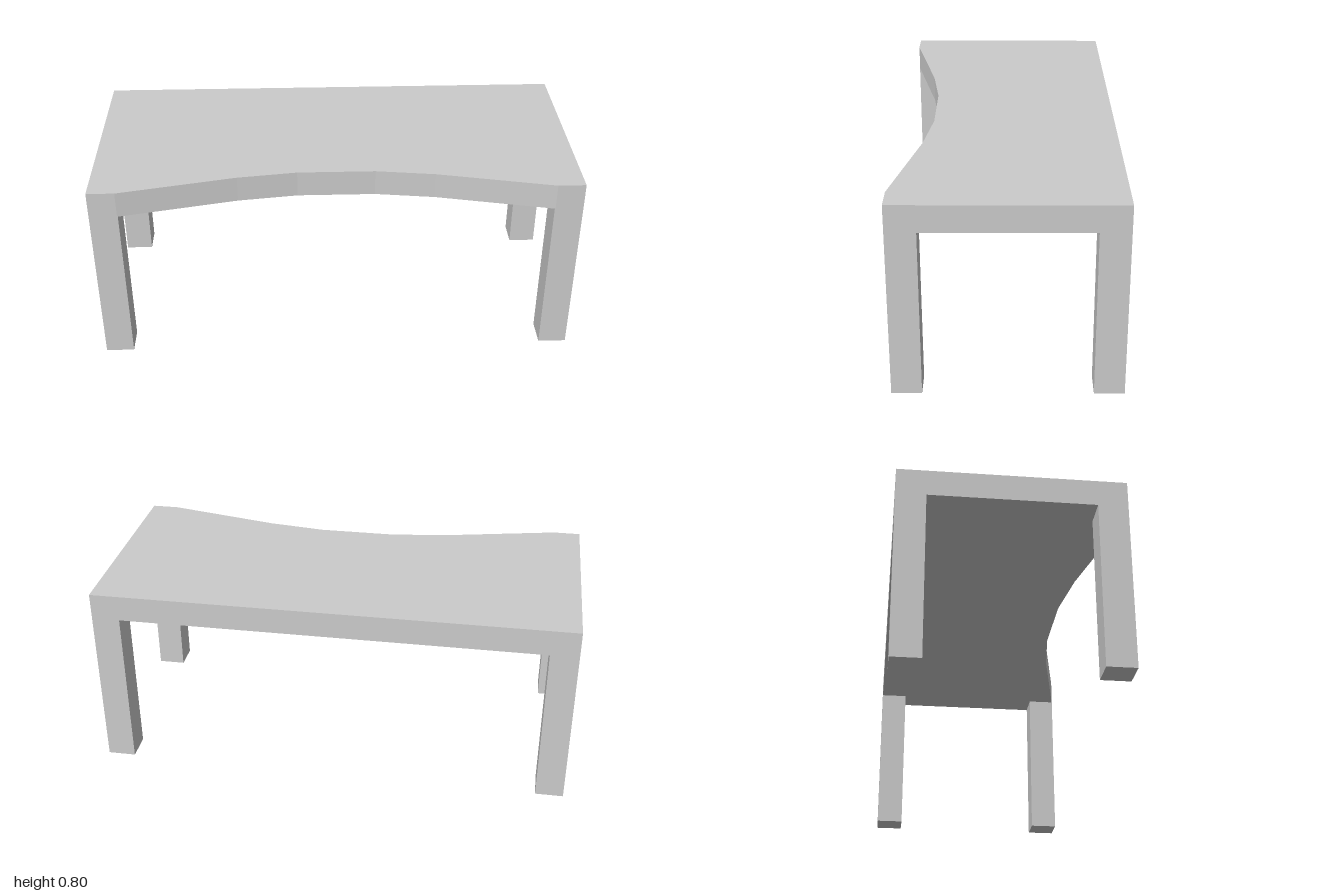
import * as THREE from 'three';

const HEIGHT = 0.8, UNDERSIDE = 0.69;
const HALF_W = 1, HALF_D = 0.45;
const LEG_W = 0.117, LEG_D = 0.119;

export function createModel() {
  const group = new THREE.Group();
  group.name = 'desk';
  const material = new THREE.MeshStandardMaterial({ color: 0xcccccc, flatShading: true });

  // Thick top with a faceted concave front edge, drawn in plan as (x, z)
  const curve = [[HALF_W - LEG_W + 0.003, HALF_D], [0.405, 0.345], [0.16, 0.313]];
  const half = [[HALF_W, -HALF_D], [HALF_W, HALF_D], ...curve];
  const mirrored = half.map(([x, z]) => [-x, z]).reverse();
  const plan = new THREE.Shape([...half, ...mirrored].map(([x, z]) => new THREE.Vector2(x, -z)));
  const topGeometry = new THREE.ExtrudeGeometry(plan, { depth: HEIGHT - UNDERSIDE, bevelEnabled: false });
  topGeometry.rotateX(-Math.PI / 2);
  const top = new THREE.Mesh(topGeometry, material);
  top.name = 'tabletop';
  top.position.y = UNDERSIDE;
  group.add(top);

  // Four square legs flush with the corners
  const legGeometry = new THREE.BoxGeometry(LEG_W, UNDERSIDE, LEG_D);
  for (const [sx, side] of [[1, 'Left'], [-1, 'Right']]) {
    for (const [sz, end] of [[1, 'front'], [-1, 'back']]) {
      const leg = new THREE.Mesh(legGeometry, material);
      leg.name = `${end}${side}Leg`;
      leg.position.set(sx * (HALF_W - LEG_W / 2), UNDERSIDE / 2, sz * (HALF_D - LEG_D / 2));
      group.add(leg);
    }
  }
  return group;
}
